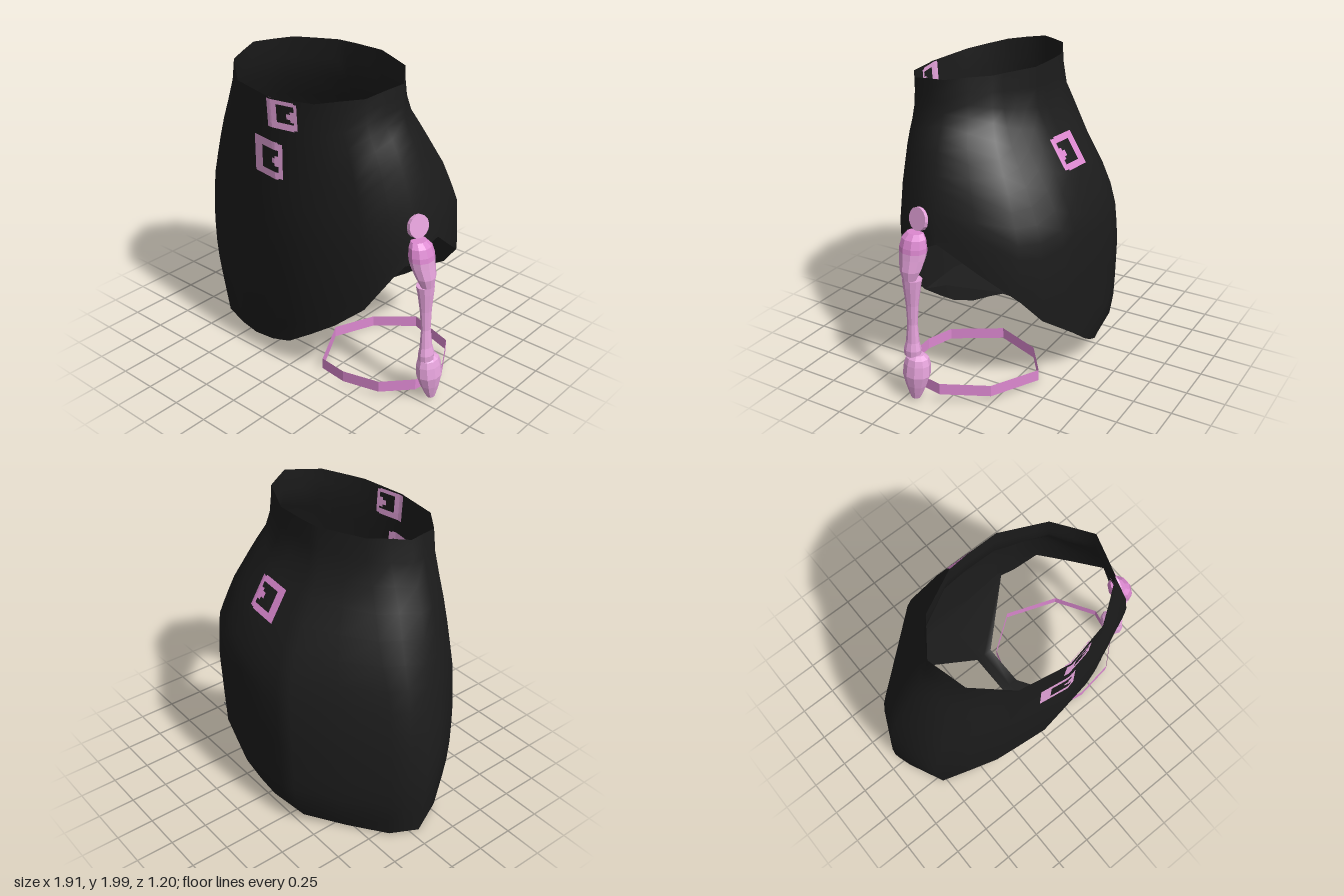
import * as THREE from 'three';
import { mergeGeometries } from 'three/addons/utils/BufferGeometryUtils.js';

const black = new THREE.MeshStandardMaterial({ color: 0x1c1c1c, side: THREE.DoubleSide });
black.name = 'black cloth';
const pink = new THREE.MeshStandardMaterial({ color: 0xe4a2da, side: THREE.DoubleSide, flatShading: true });
pink.name = 'light pink';
const deepPink = new THREE.MeshStandardMaterial({ color: 0xdc88d0, side: THREE.DoubleSide, flatShading: true });
deepPink.name = 'deep pink';

// Piecewise linear lookup in rows sorted by their first entry
function lookup(rows, t, k = 1) {
  if (t <= rows[0][0]) return rows[0][k];
  for (let i = 1; i < rows.length; i++) {
    const a = rows[i - 1], b = rows[i];
    if (t <= b[0]) return a[k] + (b[k] - a[k]) * (t - a[0]) / (b[0] - a[0]);
  }
  return rows[rows.length - 1][k];
}

// Skirt outline: height, left x, right x, front z, back z, z of the side seam
const LEVELS = [
  [0.02, -0.89, 0.75, 0.46, -0.47, 0.05],
  [0.14, -0.91, 0.77, 0.48, -0.55, 0.04],
  [0.28, -0.935, 0.80, 0.50, -0.585, 0.03],
  [0.50, -0.96, 0.82, 0.53, -0.59, 0.03],
  [0.80, -0.945, 0.825, 0.565, -0.60, 0.03],
  [1.10, -0.89, 0.81, 0.587, -0.58, 0.05],
  [1.35, -0.82, 0.765, 0.585, -0.483, 0.08],
  [1.60, -0.73, 0.685, 0.585, -0.33, 0.11],
  [1.76, -0.65, 0.60, 0.59, -0.24, 0.12],
  [2.00, -0.61, 0.58, 0.605, -0.23, 0.12],
];
// Slanted hem: height by x
const HEM = [[-0.9, 0.02], [-0.55, 0.02], [-0.17, 0.11], [0, 0.19], [0.12, 0.27],
  [0.3, 0.41], [0.47, 0.52], [0.63, 0.71], [0.73, 0.89], [0.82, 1.08]];
// Cross-section corners in unit form, at the hips and at the waist
const HIP = [[1, 0], [0.9, 0.59], [0.49, 0.88], [0.07, 1], [-0.38, 0.89], [-0.86, 0.59], [-1, 0],
  [-0.89, -0.33], [-0.35, -0.95], [-0.08, -1], [0.21, -1], [0.48, -0.95], [0.79, -0.71]];
const WAIST = [[1, 0], [0.88, 0.52], [0.5, 0.88], [0.03, 1], [-0.5, 0.88], [-0.87, 0.5], [-1, 0],
  [-0.75, -0.6], [-0.31, -0.97], [-0.08, -1], [0.26, -1], [0.5, -0.81], [0.73, -0.63]];
const SIDES = HIP.length;

// Point on the skirt; t counts corners around the section
function skirtPoint(t, y) {
  const [l, r, f, b, s] = [1, 2, 3, 4, 5].map(k => lookup(LEVELS, y, k));
  const blend = THREE.MathUtils.clamp((y - 1.1) / 0.8, 0, 1);
  const i = Math.floor(t) % SIDES, j = (i + 1) % SIDES, part = t - Math.floor(t);
  const unit = k => {
    const h = HIP[i][k] + (HIP[j][k] - HIP[i][k]) * part;
    const w = WAIST[i][k] + (WAIST[j][k] - WAIST[i][k]) * part;
    return h + (w - h) * blend;
  };
  const u = unit(0), v = unit(1);
  return [(l + r) / 2 + u * (r - l) / 2, y, s + v * (v > 0 ? f - s : s - b)];
}
// Depth of the front or back of the skirt
function skirtZ(x, y, front) {
  let best = 0;
  for (let i = 0; i < SIDES; i++) {
    const a = skirtPoint(i, y), b = skirtPoint(i + 1, y);
    if ((a[0] - x) * (b[0] - x) > 0 || a[0] === b[0]) continue;
    const z = a[2] + (b[2] - a[2]) * (x - a[0]) / (b[0] - a[0]);
    best = front ? Math.max(best, z) : Math.min(best, z);
  }
  return best;
}

// Surface through a grid of points
function gridGeometry(rows, closed) {
  const n = rows[0].length, index = [];
  for (let i = 0; i < rows.length - 1; i++) {
    for (let j = 0; j < (closed ? n : n - 1); j++) {
      const a = i * n + j, b = i * n + (j + 1) % n;
      index.push(a, b, b + n, a, b + n, a + n);
    }
  }
  const g = new THREE.BufferGeometry();
  g.setAttribute('position', new THREE.Float32BufferAttribute(rows.flat(2), 3));
  g.setIndex(index);
  g.computeVertexNormals();
  return g;
}

function mesh(name, geometry, material) {
  const m = new THREE.Mesh(geometry, material);
  m.name = name;
  return m;
}

function skirt() {
  const COLS = SIDES * 2, ROWS = 14, rows = [];
  for (let i = 0; i <= ROWS; i++) {
    const row = [];
    for (let j = COLS; j > 0; j--) {
      const t = j / 2;
      const top = 2 - 0.11 * Math.pow((skirtPoint(t, 2)[2] + 0.23) / 0.83, 2);
      let low = 0.5;
      for (let k = 0; k < 12; k++) low = (low + lookup(HEM, skirtPoint(t, low)[0])) / 2;
      row.push(skirtPoint(t, low + (top - low) * i / ROWS));
    }
    rows.push(row);
  }
  return mesh('skirt', gridGeometry(rows, true), black);
}

// Narrow inner strip that fans out to the front and back of the skirt
function innerStrip() {
  const rows = [
    [[-0.48, 0.40, 0.42], [-0.05, 0.42, 0.51], [0.37, 0.46, 0.455]],
    [[-0.22, 0.42, 0.41], [-0.01, 0.41, 0.41], [0.20, 0.42, 0.41]],
    [[-0.09, 0.37, 0.12], [-0.03, 0.37, 0.12], [0.03, 0.37, 0.12]],
    [[-0.09, 0.36, -0.17], [-0.03, 0.36, -0.17], [0.03, 0.36, -0.17]],
    [[-0.50, 0.30, -0.45], [-0.08, 0.27, -0.575], [0.43, 0.54, -0.54]],
  ];
  return mesh('innerStrip', gridGeometry(rows, false), black);
}

// Square buckle print with a prong, laid on both sides of the cloth
function buckle(name, x0, x1, y0, y1, [l, r, b, t], front, material, lean = 0) {
  const group = new THREE.Group(), mid = (y0 + y1) / 2;
  group.name = name;
  const bars = [
    [x0, x0 + l, y0, y1], [x1 - r, x1, y0 + 0.008, y1 - 0.008],
    [x0 + l, x1 - r, y0, y0 + b], [x0 + l, x1 - r, y1 - t, y1],
    [x1 - r - 0.025, x1 - r, mid - 0.035, mid + 0.03], [x1 - r - 0.05, x1 - r - 0.025, mid - 0.018, mid + 0.014],
  ];
  for (const offset of [0.008, -0.008]) {
    const parts = bars.map(([xa, xb, ya, yb]) => {
      const g = new THREE.PlaneGeometry(xb - xa, yb - ya, 6, 4);
      const p = g.attributes.position;
      for (let i = 0; i < p.count; i++) {
        const x = p.getX(i) + (xa + xb) / 2;
        const y = p.getY(i) + (ya + yb) / 2 + lean * (x - (x0 + x1) / 2);
        p.setXYZ(i, x, y, skirtZ(x, y, front) + (front ? offset : -offset));
      }
      return g;
    });
    const g = mergeGeometries(parts);
    g.computeVertexNormals();
    group.add(mesh(offset > 0 ? 'outerPrint' : 'innerPrint', g, material));
  }
  return group;
}

// Turned strap piece following a leaning axis; rows: height, radius, centre x
function strapPiece(name, rows, z, material) {
  const points = rows.map(r => new THREE.Vector2(r[1], r[0]));
  points.unshift(new THREE.Vector2(0, rows[0][0]));
  points.push(new THREE.Vector2(0, rows[rows.length - 1][0]));
  const g = new THREE.LatheGeometry(points, 10), p = g.attributes.position;
  for (let i = 0; i < p.count; i++) {
    p.setX(i, p.getX(i) * 0.8 + lookup(rows, p.getY(i), 2));
    p.setZ(i, p.getZ(i) + z);
  }
  g.computeVertexNormals();
  return mesh(name, g, material);
}

function sideStrap() {
  const group = new THREE.Group();
  group.name = 'sideStrap';
  const tab = mesh('strapTab', new THREE.CylinderGeometry(0.072, 0.072, 0.03, 14), pink);
  tab.position.set(0.77, 1.178, 0.195);
  tab.rotation.set(0, -0.24, -Math.PI / 2 + 0.2);
  group.add(tab,
    strapPiece('upperKnobTop', [[0.99, 0.09, 0.82], [1.02, 0.09, 0.815], [1.07, 0.08, 0.805],
      [1.10, 0.055, 0.79]], 0.21, deepPink),
    strapPiece('upperKnob', [[0.82, 0.045, 0.868], [0.88, 0.07, 0.855], [0.95, 0.085, 0.83],
      [0.99, 0.09, 0.82]], 0.21, pink),
    strapPiece('strapShaft', [[0.31, 0.055, 0.877], [0.35, 0.058, 0.876], [0.40, 0.045, 0.872],
      [0.52, 0.034, 0.866], [0.65, 0.042, 0.86], [0.77, 0.058, 0.855], [0.82, 0.066, 0.85]], 0.205, pink),
    strapPiece('lowerKnob', [[0.03, 0.03, 0.905], [0.06, 0.045, 0.9], [0.12, 0.07, 0.893],
      [0.19, 0.092, 0.885], [0.26, 0.088, 0.875], [0.30, 0.075, 0.872], [0.32, 0.045, 0.87]], 0.175, pink));
  return group;
}

// Thin faceted band around the thigh
function thighBand() {
  const outline = [[0.87, 0.02], [0.83, 0.24], [0.66, 0.39], [0.4, 0.425], [0.19, 0.385],
    [0.025, 0.07], [0.12, -0.22], [0.36, -0.39], [0.71, -0.25]];
  const rows = [0, 0.075].map(h => outline.map(([x, z]) =>
    [x, 0.01 + h + 0.065 * Math.max(0, x - 0.2) / 0.65 + (x < 0.1 ? 0.015 : 0), z]));
  return mesh('thighBand', gridGeometry(rows, true), deepPink);
}

export function createModel() {
  const model = new THREE.Group();
  model.name = 'skirtWithThighBand';
  model.add(
    skirt(),
    innerStrip(),
    buckle('upperFrontBuckle', -0.03, 0.175, 1.71, 1.885, [0.07, 0.02, 0.04, 0.025], true, pink),
    buckle('lowerFrontBuckle', -0.17, 0.07, 1.385, 1.62, [0.07, 0.03, 0.045, 0.05], true, pink),
    buckle('backBuckle', -0.065, 0.17, 1.39, 1.58, [0.06, 0.035, 0.035, 0.035], false, deepPink, 0.06),
    sideStrap(),
    thighBand(),
  );
  return model;
}
